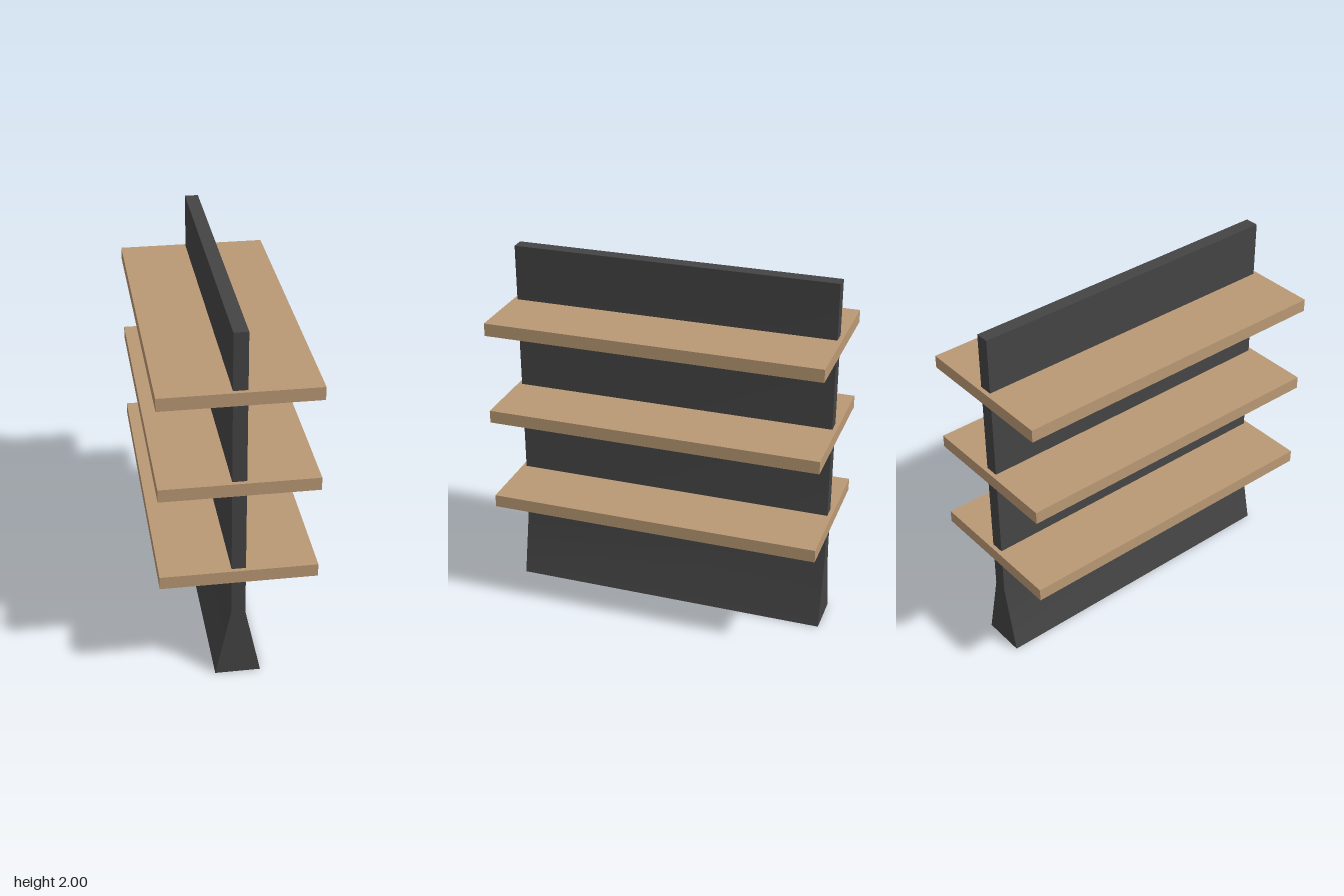
import * as THREE from 'three';
import { toCreasedNormals } from 'three/addons/utils/BufferGeometryUtils.js';

export function createModel() {
  const group = new THREE.Group();
  group.name = 'shelfUnit';

  const wood = new THREE.MeshStandardMaterial({ color: 0xba9974 });
  wood.name = 'wood';
  const charcoal = new THREE.MeshStandardMaterial({ color: 0x444444 });
  charcoal.name = 'charcoal';

  // Upright panel: one profile with a flared foot, extruded along z
  const length = 1.77;
  const halfProfile = [[0.12, 0], [0.037, 0.39], [0.037, 2]];
  const mirrored = halfProfile.map(([x, y]) => [-x, y]).reverse();
  const profile = new THREE.Shape(
    [...halfProfile, ...mirrored].map(([x, y]) => new THREE.Vector2(x, y))
  );
  const panelGeometry = new THREE.ExtrudeGeometry(profile, { depth: length, bevelEnabled: false });
  panelGeometry.translate(0, 0, -length / 2);
  const panel = new THREE.Mesh(toCreasedNormals(panelGeometry, Math.PI / 6), charcoal);
  panel.name = 'uprightPanel';
  group.add(panel);

  // Three boards passing through the panel
  const boardGeometry = new THREE.BoxGeometry(0.814, 0.07, 1.816);
  [0.633, 1.154, 1.66].forEach((y, i) => {
    const board = new THREE.Mesh(boardGeometry, wood);
    board.name = `shelfBoard${i + 1}`;
    board.position.y = y;
    group.add(board);
  });

  return group;
}
